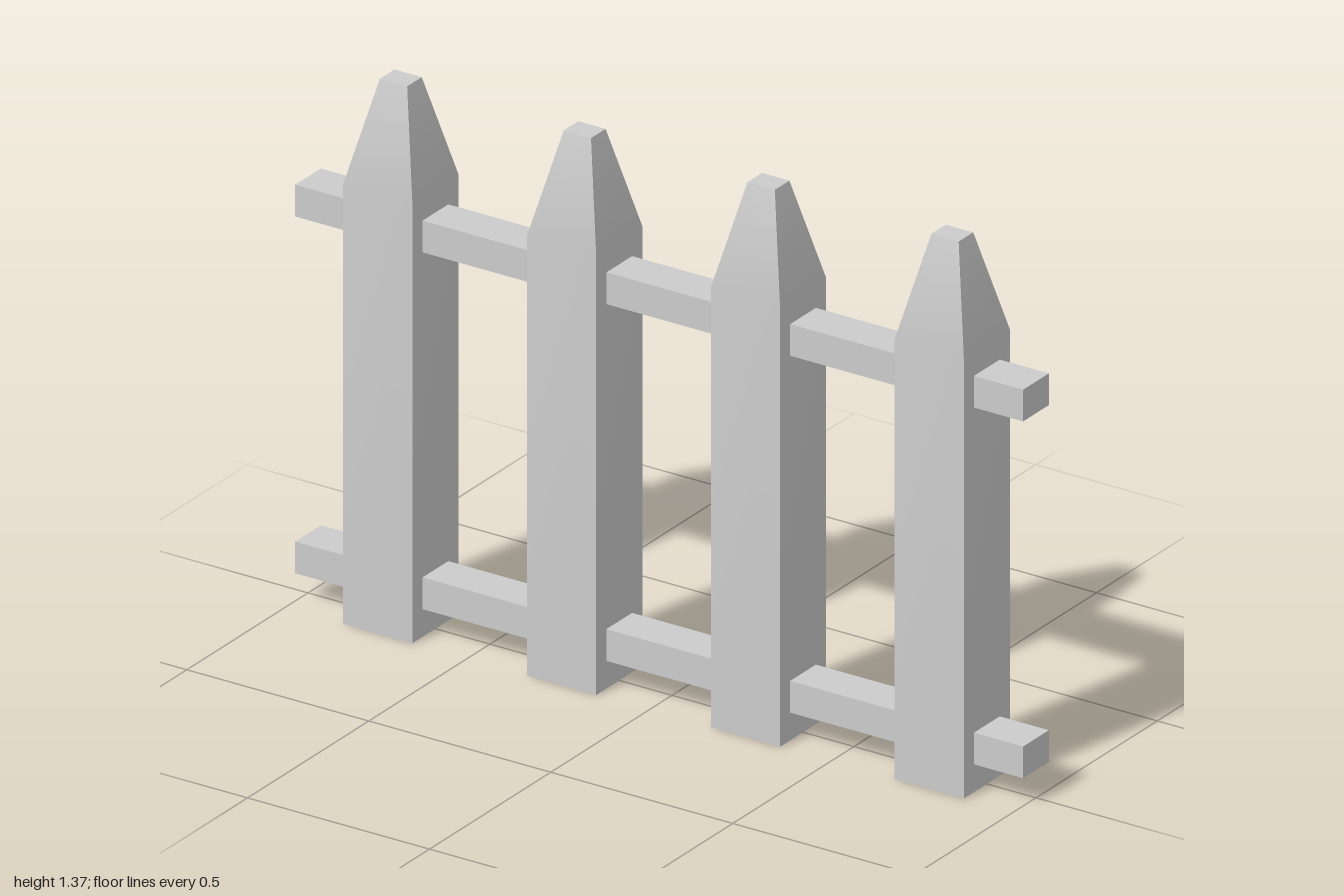
import * as THREE from 'three';

const WIDTH = 0.19, SHOULDER = 1.11, TOP = 1.365;
const TIP_X = 0.075, TIP_Z = 0.06;

// Square post with a blunt tapered tip; each side shades softly over the shoulder
function picketGeometry() {
  const geo = new THREE.BoxGeometry(WIDTH, 2, WIDTH, 1, 2, 1);
  const pos = geo.attributes.position;
  for (let i = 0; i < pos.count; i++) {
    const level = Math.round(pos.getY(i)) + 1; // 0 foot, 1 shoulder, 2 tip
    pos.setY(i, [0, SHOULDER, TOP][level]);
    if (level === 2) {
      pos.setX(i, Math.sign(pos.getX(i)) * TIP_X / 2);
      pos.setZ(i, Math.sign(pos.getZ(i)) * TIP_Z / 2);
    }
  }
  geo.computeVertexNormals();
  return geo;
}

export function createModel() {
  const fence = new THREE.Group();
  fence.name = 'picketFence';
  const material = new THREE.MeshStandardMaterial({ color: 0xcccccc });

  // Four evenly spaced pickets
  const picketGeo = picketGeometry();
  for (let i = 0; i < 4; i++) {
    const picket = new THREE.Mesh(picketGeo, material);
    picket.name = `picket${i + 1}`;
    picket.position.x = -0.745 + i * 0.505;
    fence.add(picket);
  }

  // Two rails running through the pickets
  const railGeo = new THREE.BoxGeometry(2, 0.08, 0.106);
  for (const [name, y] of [['lowerRail', 0.11], ['upperRail', 1.01]]) {
    const rail = new THREE.Mesh(railGeo, material);
    rail.name = name;
    rail.position.y = y;
    fence.add(rail);
  }
  return fence;
}
